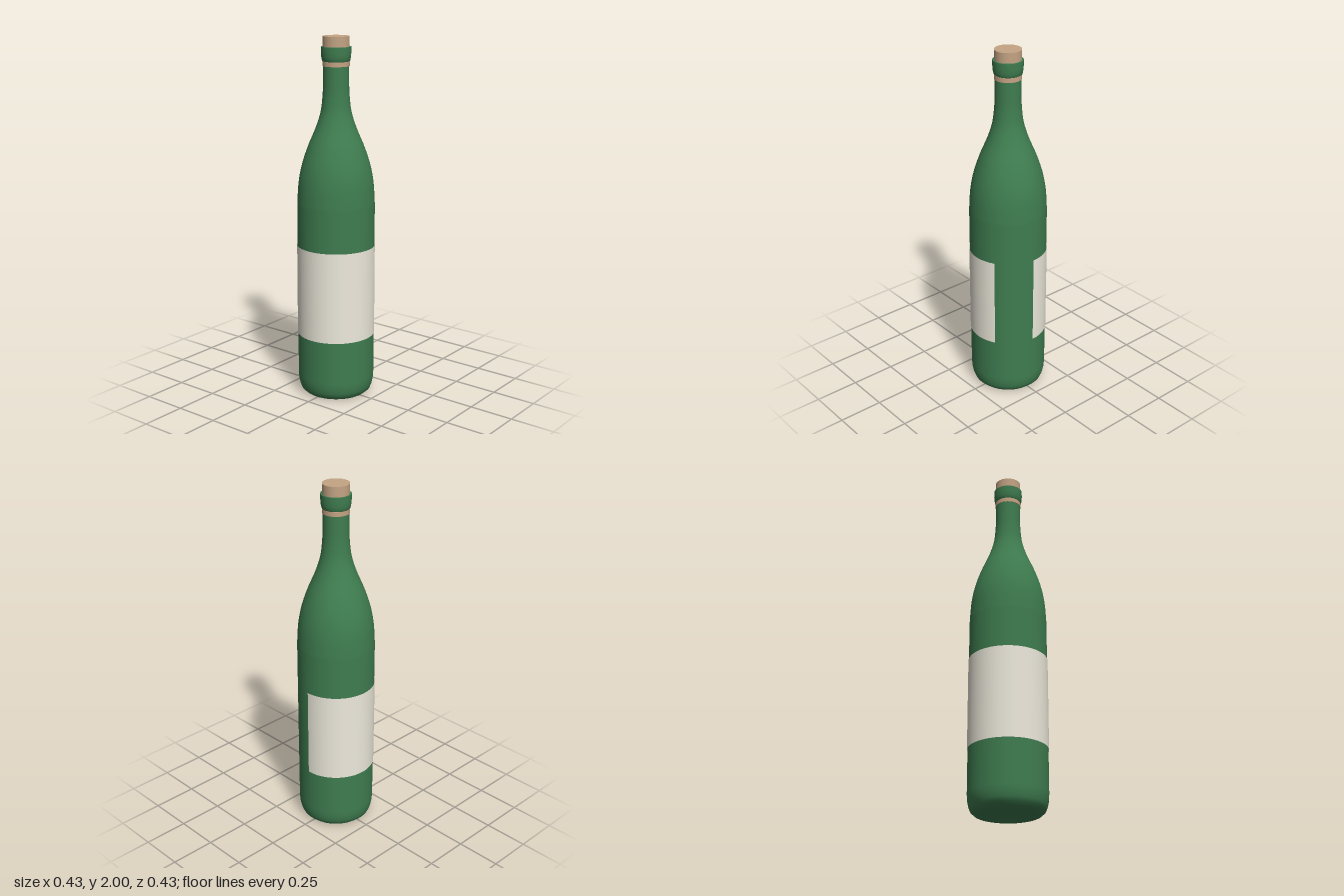
import * as THREE from 'three';

const SEGMENTS = 64;
const points = (list) => list.map(([r, y]) => new THREE.Vector2(r, y));

export function createModel() {
  const model = new THREE.Group();
  const glass = new THREE.MeshStandardMaterial({ color: 0x3f7d50 });
  const cork = new THREE.MeshStandardMaterial({ color: 0xc4a484 });
  const paper = new THREE.MeshStandardMaterial({ color: 0xeeeadd, side: THREE.DoubleSide });

  const add = (name, geometry, material, y = 0) => {
    const mesh = new THREE.Mesh(geometry, material);
    mesh.name = name;
    mesh.position.y = y;
    model.add(mesh);
  };

  // Bottle body: flat base with rounded heel, straight wall, curved shoulder, neck
  const shoulder = new THREE.SplineCurve(points([
    [0.213, 1.09], [0.205, 1.21], [0.186, 1.31], [0.153, 1.41],
    [0.111, 1.51], [0.083, 1.6], [0.072, 1.69],
  ])).getPoints(30);
  const base = points([[0, 0], [0.155, 0]]);
  const heel = points([[0.155, 0], [0.178, 0.006], [0.196, 0.022], [0.205, 0.045], [0.211, 0.075], [0.213, 0.11]]);
  add('base', new THREE.LatheGeometry(base, SEGMENTS), glass);
  add('body', new THREE.LatheGeometry(
    [...heel, ...shoulder, ...points([[0.07, 1.74], [0.07, 1.86]])], SEGMENTS), glass);

  // Flared lip with a flat rim
  const lip = points([[0.069, 1.865], [0.075, 1.87], [0.079, 1.89], [0.081, 1.915], [0.081, 1.945]]);
  add('lip', new THREE.LatheGeometry(lip, SEGMENTS), glass);
  add('rim', new THREE.LatheGeometry(points([[0.081, 1.945], [0.06, 1.945]]), SEGMENTS), glass);

  // Band below the lip, and the stopper
  add('neckBand', new THREE.CylinderGeometry(0.073, 0.073, 0.025, SEGMENTS), cork, 1.855);
  add('stopper', new THREE.CylinderGeometry(0.072, 0.072, 0.08, SEGMENTS), cork, 1.96);

  // Paper label wrapped five sixths of the way round
  add('label', new THREE.CylinderGeometry(
    0.216, 0.216, 0.51, SEGMENTS, 1, true, Math.PI / 2, Math.PI * 5 / 3), paper, 0.605);

  return model;
}
